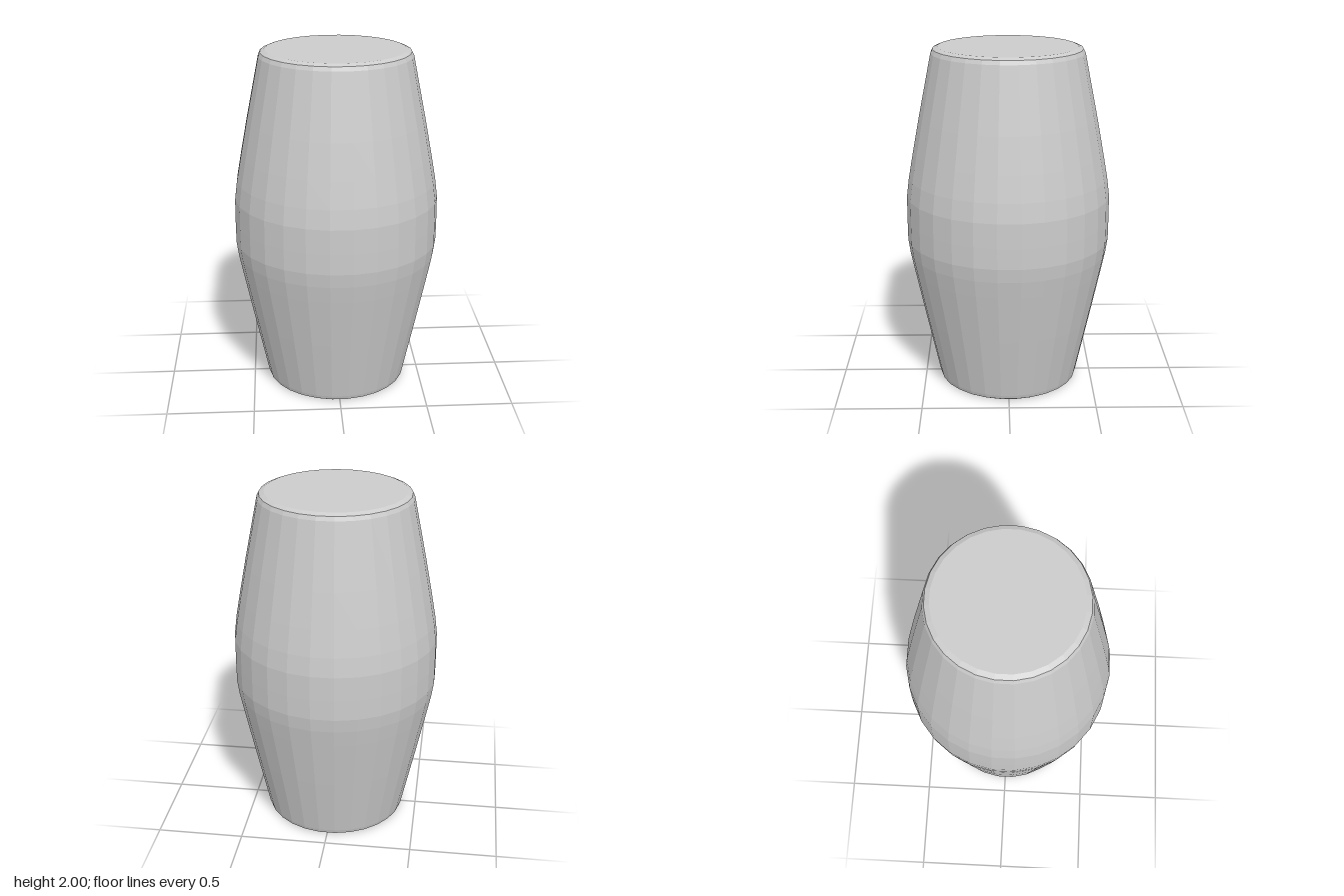
import * as THREE from 'three';

const SIDES = 28;

// Barrel outline as [radius, height], from the bottom centre to the top centre
const PROFILE = [
  [0, 0], [0.395, 0], [0.408, 0.008], [0.415, 0.03],
  [0.495, 0.4], [0.558, 0.7], [0.578, 0.8], [0.589, 0.88],
  [0.59, 1.0], [0.589, 1.14], [0.575, 1.25], [0.548, 1.4],
  [0.51, 1.6], [0.436, 1.965], [0.425, 1.988], [0.397, 2], [0, 2],
];

export function createModel() {
  const group = new THREE.Group();
  group.name = 'barrel';

  // Faceted body with bevelled rims and flat ends; half a step of turn puts facets on the axes
  const points = PROFILE.map(([r, y]) => new THREE.Vector2(r, y));
  const geometry = new THREE.LatheGeometry(points, SIDES, Math.PI / SIDES);
  const material = new THREE.MeshStandardMaterial({ color: 0xcccccc, flatShading: true });
  const body = new THREE.Mesh(geometry, material);
  body.name = 'barrelBody';
  group.add(body);

  return group;
}
